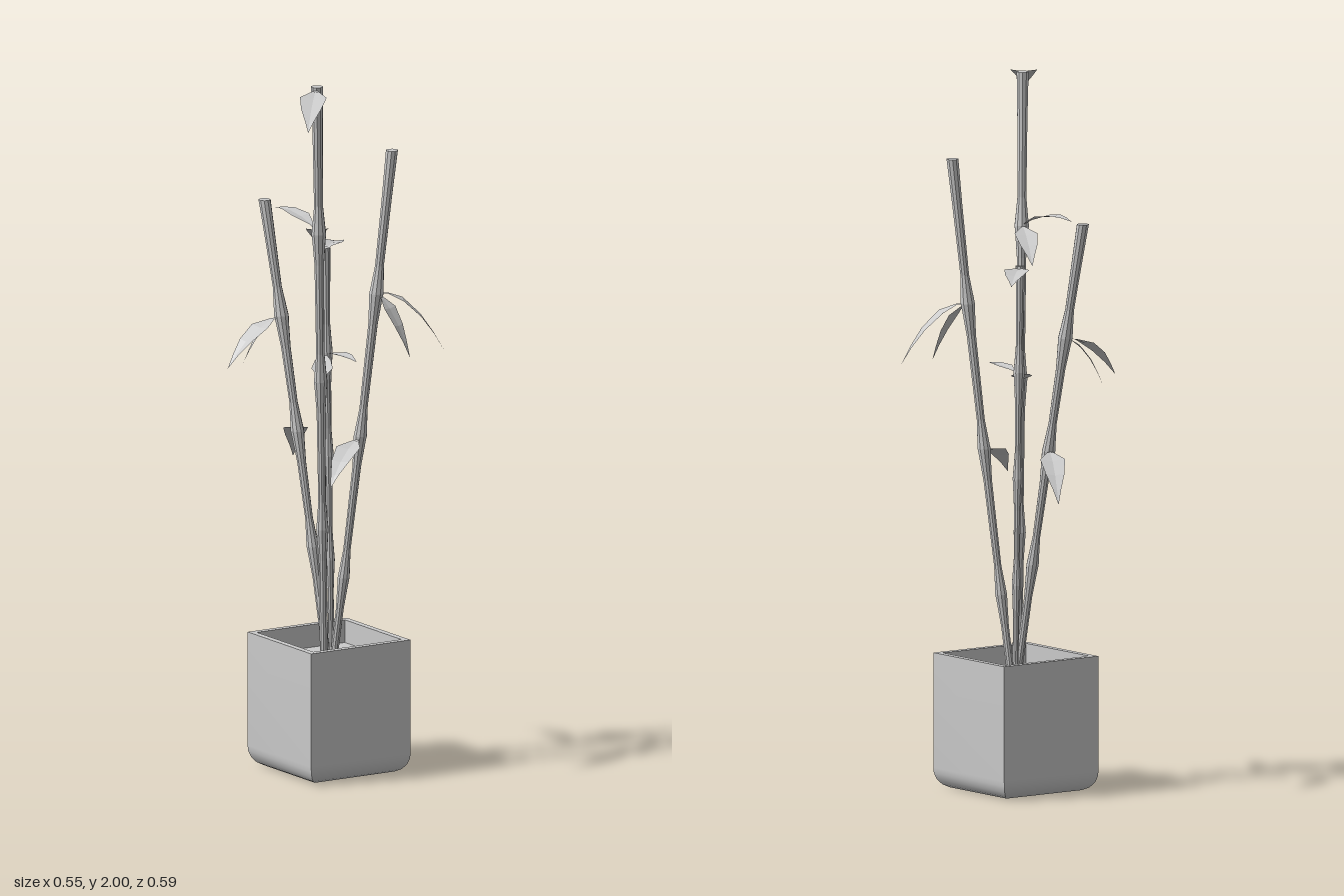
import * as THREE from 'three';
import { toCreasedNormals } from 'three/addons/utils/BufferGeometryUtils.js';

const SOIL = 0.315;
const grey = new THREE.MeshStandardMaterial({ color: 0xcccccc });
const stalkMaterial = new THREE.MeshStandardMaterial({ color: 0xcccccc, flatShading: true });
const leafMaterial = new THREE.MeshStandardMaterial({ color: 0xcccccc, flatShading: true, side: THREE.DoubleSide });

// Square pot with rounded underside, hollow above the soil
function makePot() {
  const profile = [
    [0, 0], [0.132, 0], [0.147, 0.008], [0.158, 0.022], [0.164, 0.04], [0.165, 0.055],
    [0.165, 0.38], [0.146, 0.38], [0.146, SOIL], [0, SOIL],
  ].map(([r, y]) => new THREE.Vector2(r * Math.SQRT2, y));
  const geometry = new THREE.LatheGeometry(profile, 4);
  geometry.rotateY(Math.PI / 4);
  const pot = new THREE.Mesh(toCreasedNormals(geometry, 0.5), grey);
  pot.position.set(0.005, 0, -0.032);
  pot.name = 'pot';
  return pot;
}

// Jointed cane: a lathe whose rings are shifted along a bent path
function makeStalk({ base, mid, top, height, step, radius, name }) {
  const y0 = SOIL - 0.01;
  const radiusAt = (y) => radius * (0.72 + 0.28 * (y - y0) / (height - y0));
  const profile = [new THREE.Vector2(0, y0), new THREE.Vector2(radiusAt(y0) * 0.9, y0)];
  for (let y = height - 3 * step; y < height - 0.01; y += step) {
    const r = radiusAt(y);
    for (const [dy, k] of [[-0.09, 0.85], [-0.025, 1.15], [0, 1.3], [0.03, 1.1], [0.08, 0.8]]) {
      profile.push(new THREE.Vector2(r * k, y + dy));
    }
  }
  profile.push(
    new THREE.Vector2(radius * 0.85, height - 0.13),
    new THREE.Vector2(radius, height),
    new THREE.Vector2(0, height),
  );
  const geometry = new THREE.LatheGeometry(profile, 10);
  const p = geometry.attributes.position;
  // Quadratic bend through base, mid [x, y, z] and top
  const bend = (y, a, b, c) => {
    const m = mid[1];
    return a * (y - m) * (y - height) / ((y0 - m) * (y0 - height))
      + b * (y - y0) * (y - height) / ((m - y0) * (m - height))
      + c * (y - y0) * (y - m) / ((height - y0) * (height - m));
  };
  for (let i = 0; i < p.count; i++) {
    const y = p.getY(i);
    p.setX(i, p.getX(i) + bend(y, base[0], mid[0], top[0]));
    p.setZ(i, p.getZ(i) + bend(y, base[1], mid[2], top[1]));
  }
  geometry.computeVertexNormals();
  const stalk = new THREE.Mesh(geometry, stalkMaterial);
  stalk.name = name;
  return stalk;
}

// Pointed leaf arching from base to tip with a shallow centre fold
function makeLeaf([from, to, width, arch], index) {
  const a = new THREE.Vector3(...from), b = new THREE.Vector3(...to);
  const control = a.clone().lerp(b, 0.5);
  control.y += arch * 2;
  const curve = new THREE.QuadraticBezierCurve3(a, control, b);
  const side = new THREE.Vector3(b.z - a.z, 0, a.x - b.x).normalize();
  const outline = [[0, 0.06], [0.17, 0.25], [0.4, 1], [0.66, 0.75], [0.85, 0.33], [1, 0]];
  const positions = [], faces = [];
  outline.forEach(([t, k], row) => {
    const centre = curve.getPoint(t), w = k * width / 2;
    for (const s of [-1, 0, 1]) {
      const v = centre.clone().addScaledVector(side, s * w);
      if (s === 0) v.y -= w * 0.15;
      positions.push(v.x, v.y, v.z);
    }
    if (row === 0) return;
    for (let j = 0; j < 2; j++) {
      const q = (row - 1) * 3 + j;
      faces.push(q, q + 3, q + 1, q + 1, q + 3, q + 4);
    }
  });
  const geometry = new THREE.BufferGeometry();
  geometry.setAttribute('position', new THREE.Float32BufferAttribute(positions, 3));
  geometry.setIndex(faces);
  geometry.computeVertexNormals();
  const leaf = new THREE.Mesh(geometry, leafMaterial);
  leaf.name = `leaf${index + 1}`;
  return leaf;
}

export function createModel() {
  const model = new THREE.Group();
  model.name = 'pottedBamboo';
  model.add(makePot());

  // Canes: base and top are [x, z], mid is [x, y, z]
  const stalks = [
    { name: 'tallStalk', base: [-0.052, 0.031], mid: [-0.085, 1.14, 0.065], top: [-0.127, 0.112], height: 2, step: 0.43, radius: 0.0175 },
    { name: 'leftStalk', base: [0.018, -0.03], mid: [0.066, 0.96, 0.035], top: [0.139, 0.085], height: 1.78, step: 0.41, radius: 0.0175 },
    { name: 'backStalk', base: [-0.008, -0.02], mid: [-0.047, 0.96, -0.115], top: [-0.094, -0.212], height: 1.61, step: 0.325, radius: 0.0175 },
    { name: 'shortStalk', base: [0.047, -0.085], mid: [0.032, 0.9, -0.077], top: [0.018, -0.07], height: 1.485, step: 0.3, radius: 0.0135 },
  ];
  stalks.forEach((s) => model.add(makeStalk(s)));

  // Leaves: base, tip, width, arch height
  const leaves = [
    [[-0.13, 1.99, 0.115], [-0.275, 1.92, 0.297], 0.075, 0.03],
    [[-0.1, 1.57, 0.08], [-0.115, 1.605, -0.132], 0.058, 0.025],
    [[-0.1, 1.57, 0.08], [0.017, 1.49, -0.125], 0.065, 0.025],
    [[-0.085, 1.13, 0.065], [0.026, 1.18, -0.09], 0.06, 0.01],
    [[0.102, 1.37, 0.062], [0.273, 1.2, 0.148], 0.068, 0.05],
    [[0.102, 1.37, 0.062], [0.142, 1.2, 0.175], 0.05, 0.035],
    [[0.066, 0.95, 0.035], [-0.128, 0.86, 0.182], 0.07, 0.035],
    [[-0.07, 1.28, -0.162], [-0.268, 1.16, -0.132], 0.068, 0.035],
    [[-0.07, 1.28, -0.162], [-0.163, 1.15, -0.213], 0.055, 0.035],
    [[-0.047, 0.96, -0.115], [0.055, 0.84, -0.297], 0.07, 0.04],
    [[0.018, 1.475, -0.07], [0.157, 1.455, -0.213], 0.07, 0.02],
    [[0.025, 1.18, -0.07], [0.012, 1.19, 0.1], 0.046, 0.012],
  ];
  const foliage = new THREE.Group();
  foliage.name = 'leaves';
  leaves.forEach((l, i) => foliage.add(makeLeaf(l, i)));
  model.add(foliage);
  return model;
}
